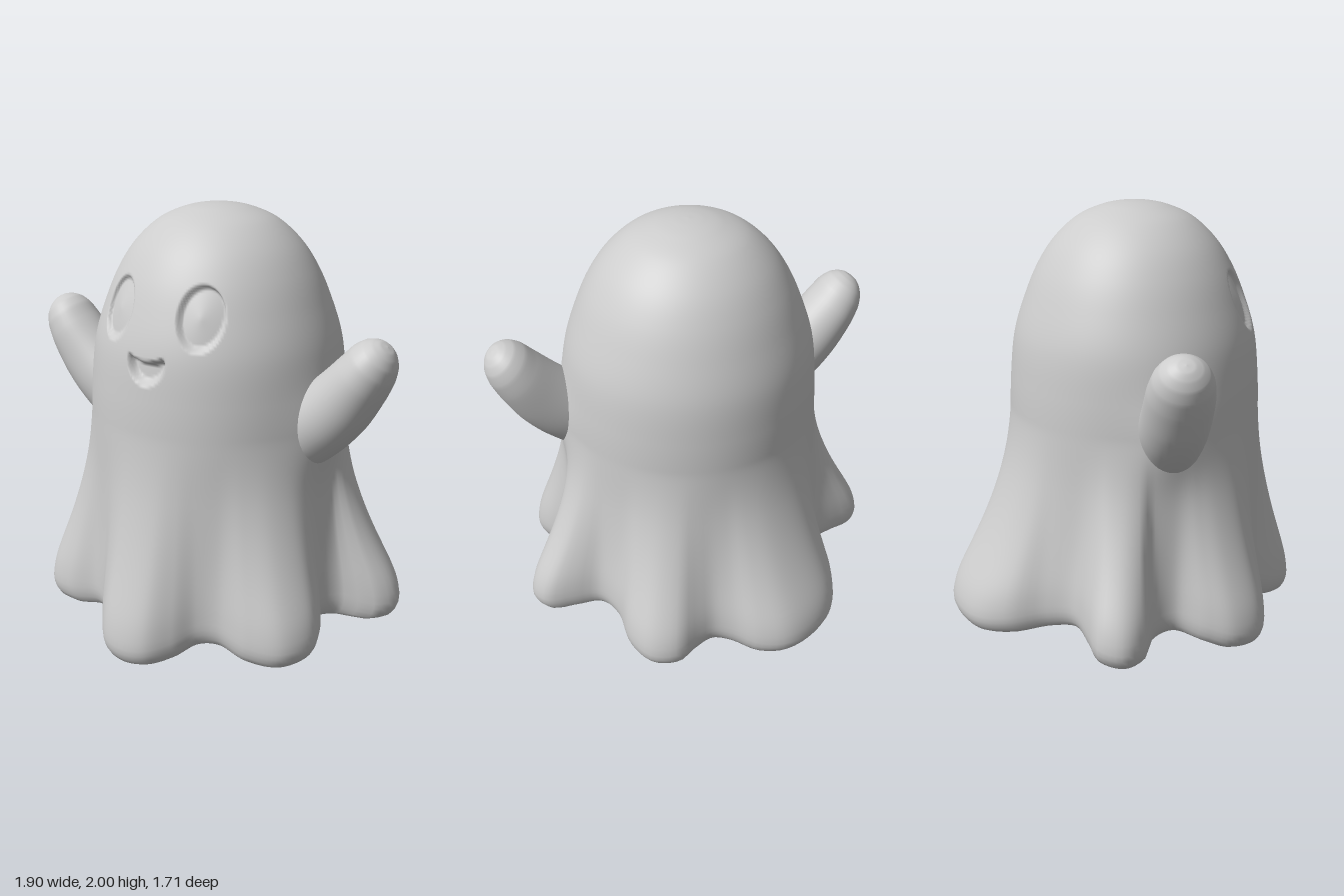
import * as THREE from 'three';

const V = (x, y, z) => new THREE.Vector3(x, y, z);
const CZ = 0.05; // depth of the body axis
const FLOOR = 0.11; // height of the closed underside

// Skin a list of closed rings into one smooth surface.
function loft(rings) {
  const n = rings[0].length, index = [];
  for (let j = 0; j < rings.length - 1; j++) {
    for (let i = 0; i < n; i++) {
      const k = (i + 1) % n, a = j * n + i, b = j * n + k;
      index.push(a, a + n, b + n, a, b + n, b);
    }
  }
  const g = new THREE.BufferGeometry().setFromPoints(rings.flat());
  g.setIndex(index);
  g.computeVertexNormals();
  return g;
}

// Wavy hem outline seen from above: x, height of the lower edge, z.
const hemCurve = new THREE.CatmullRomCurve3([
  [0, 0, 0.855], [0.11, 0.01, 0.83], [0.2, 0.035, 0.74], [0.27, 0.075, 0.645], [0.36, 0.08, 0.6],
  [0.52, 0.055, 0.61], [0.67, 0.045, 0.56], [0.745, 0.06, 0.42], [0.72, 0.09, 0.3], [0.65, 0.11, 0.17],
  [0.7, 0.1, 0.06], [0.85, 0.09, 0], [0.915, 0.085, -0.1], [0.87, 0.1, -0.21], [0.76, 0.12, -0.25],
  [0.62, 0.13, -0.29], [0.56, 0.11, -0.4], [0.56, 0.08, -0.57], [0.495, 0.06, -0.7], [0.37, 0.06, -0.745],
  [0.27, 0.075, -0.71], [0.17, 0.085, -0.69], [0.08, 0.07, -0.73], [-0.02, 0.05, -0.82], [-0.15, 0.045, -0.865],
  [-0.31, 0.045, -0.83], [-0.45, 0.055, -0.74], [-0.525, 0.08, -0.6], [-0.54, 0.11, -0.43], [-0.6, 0.13, -0.3],
  [-0.74, 0.12, -0.25], [-0.87, 0.1, -0.21], [-0.915, 0.085, -0.1], [-0.85, 0.09, 0], [-0.7, 0.1, 0.06],
  [-0.65, 0.11, 0.17], [-0.72, 0.09, 0.3], [-0.745, 0.06, 0.42], [-0.67, 0.045, 0.56], [-0.52, 0.055, 0.61],
  [-0.36, 0.08, 0.6], [-0.27, 0.075, 0.645], [-0.2, 0.035, 0.74], [-0.11, 0.01, 0.83],
].map(p => V(...p)), true);

const TAU = Math.PI * 2;
const hemSamples = hemCurve.getPoints(900).slice(0, -1).map(p => ({
  a: (Math.atan2(p.x, p.z - CZ) + TAU) % TAU, r: Math.hypot(p.x, p.z - CZ), y: p.y,
})).sort((p, q) => p.a - q.a);

function hemAt(angle) {
  const n = hemSamples.length;
  let i = hemSamples.findIndex(p => p.a >= angle);
  if (i < 0) i = n - 1;
  const q = hemSamples[i], p = hemSamples[Math.max(i - 1, 0)];
  const t = q.a > p.a ? Math.min((angle - p.a) / (q.a - p.a), 1) : 0;
  return { r: p.r + (q.r - p.r) * t, y: p.y + (q.y - p.y) * t };
}

// Depth of the pressed-in eyes and smiling mouth at a point of the face.
function faceDent(x, y) {
  const smooth = THREE.MathUtils.smoothstep;
  const ex = (Math.abs(x) - 0.215 + (y - 1.57) * 0.08) / 0.095, ey = (y - 1.57) / 0.135;
  const e = Math.hypot(ex, ey);
  const eye = (1 - smooth(e, 0.86, 1.02)) * (0.012 + 0.016 * Math.min(e, 1));
  const m = Math.hypot(x / 0.1, (y - 1.385) / 0.11);
  const lip = 1.367 + 0.022 * (x / 0.09) ** 2;
  const mouth = (1 - smooth(m, 0.8, 1.03)) * (1 - smooth(y, lip - 0.008, lip + 0.01)) * 0.04;
  return eye + mouth;
}

// Sheet body: round dome that blends downward into the wavy hem, closed below.
function bodyGeometry() {
  const dome = new THREE.CatmullRomCurve3([
    [0, 2], [0.12, 1.995], [0.26, 1.977], [0.45, 1.925], [0.63, 1.825], [0.755, 1.71],
    [0.85, 1.58], [0.945, 1.4], [0.985, 1.2], [1, 1], [1, 0.75], [1, 0.5], [1, 0.25], [1, 0.12],
  ].map(([s, y]) => V(s, y, 0)));
  // s: dome width, k: hem scale, flat: how far the row is levelled to the underside
  const rows = dome.getSpacedPoints(190).map(p => ({ s: p.x, y: p.y, k: 1, flat: 0 }));
  for (const [k, y, flat] of [[1, 0.09, 0], [0.995, 0.062, 0], [0.985, 0.036, 0], [0.967, 0.013, 0],
    [0.94, 0, 0], [0.9, 0, 0.08], [0.8, 0, 0.35], [0.65, 0, 0.7], [0.45, 0, 0.95], [0.2, 0, 1], [0, 0, 1]]) {
    rows.push({ s: 1, y, k, flat });
  }

  const columns = Array.from({ length: 260 }, (_, i) => {
    const t = i / 260 * TAU, a = t - 0.45 * Math.sin(t); // finer across the face
    return { a, hem: hemAt(a) };
  });
  return loft(rows.map(({ s, y, k, flat }) => {
    const t = Math.max((1.05 - y) / 0.9, 0) ** 1.6;
    const f = Math.min(1.02 * t / (1 + t ** 10) ** 0.1, 1); // eases out at the hem
    return columns.map(({ a, hem }) => {
      const core = s * (0.6 + 0.014 * Math.sin(a) ** 2);
      const r = (core + (hem.r - core) * f) * k;
      const lift = THREE.MathUtils.lerp(hem.y * f, FLOOR, flat);
      const p = V(Math.sin(a) * r, y + lift, CZ + Math.cos(a) * r);
      // soft swelling where the arms grow out
      p.x *= 1 + 0.06 * Math.exp(-(((y - 1.04) / 0.2) ** 2) - ((p.z - 0.145) / 0.18) ** 2);
      if (p.z > 0.3 && y > 1.2) p.z -= faceDent(p.x, p.y);
      return p;
    });
  }));
}

// Raised arm: oval sections narrowing from the wide shoulder to a round tip.
function armGeometry(side) {
  const sections = [ // x, y, half width, half depth
    [0.43, 0.97, 0.18, 0.15], [0.53, 1.04, 0.175, 0.15], [0.62, 1.11, 0.165, 0.152], [0.71, 1.2, 0.153, 0.15],
    [0.8, 1.315, 0.133, 0.145], [0.848, 1.385, 0.118, 0.13], [0.878, 1.428, 0.095, 0.105],
    [0.896, 1.453, 0.066, 0.073], [0.906, 1.467, 0.035, 0.038], [0.909, 1.471, 0, 0],
  ];
  const centre = new THREE.CatmullRomCurve3(sections.map(s => V(s[0], s[1], 0)));
  const size = new THREE.CatmullRomCurve3(sections.map(s => V(s[2], s[3], 0)));
  const rings = [];
  for (let j = 0; j <= 54; j++) {
    const c = centre.getPoint(j / 54), h = size.getPoint(j / 54);
    rings.push(Array.from({ length: 40 }, (_, i) => {
      const a = side * i / 40 * TAU, w = h.x * Math.cos(a);
      return V(side * (c.x + 0.76 * w), c.y - 0.65 * w, 0.145 + h.y * Math.sin(a));
    }));
  }
  return loft(rings);
}

export function createModel() {
  const model = new THREE.Group();
  model.name = 'ghost';
  const sheet = new THREE.MeshStandardMaterial({ color: 0xcccccc });
  sheet.name = 'pale grey';
  const add = (name, geometry) => {
    const mesh = new THREE.Mesh(geometry, sheet);
    mesh.name = name;
    model.add(mesh);
  };
  add('body', bodyGeometry());
  add('leftArm', armGeometry(1));
  add('rightArm', armGeometry(-1));
  return model;
}
